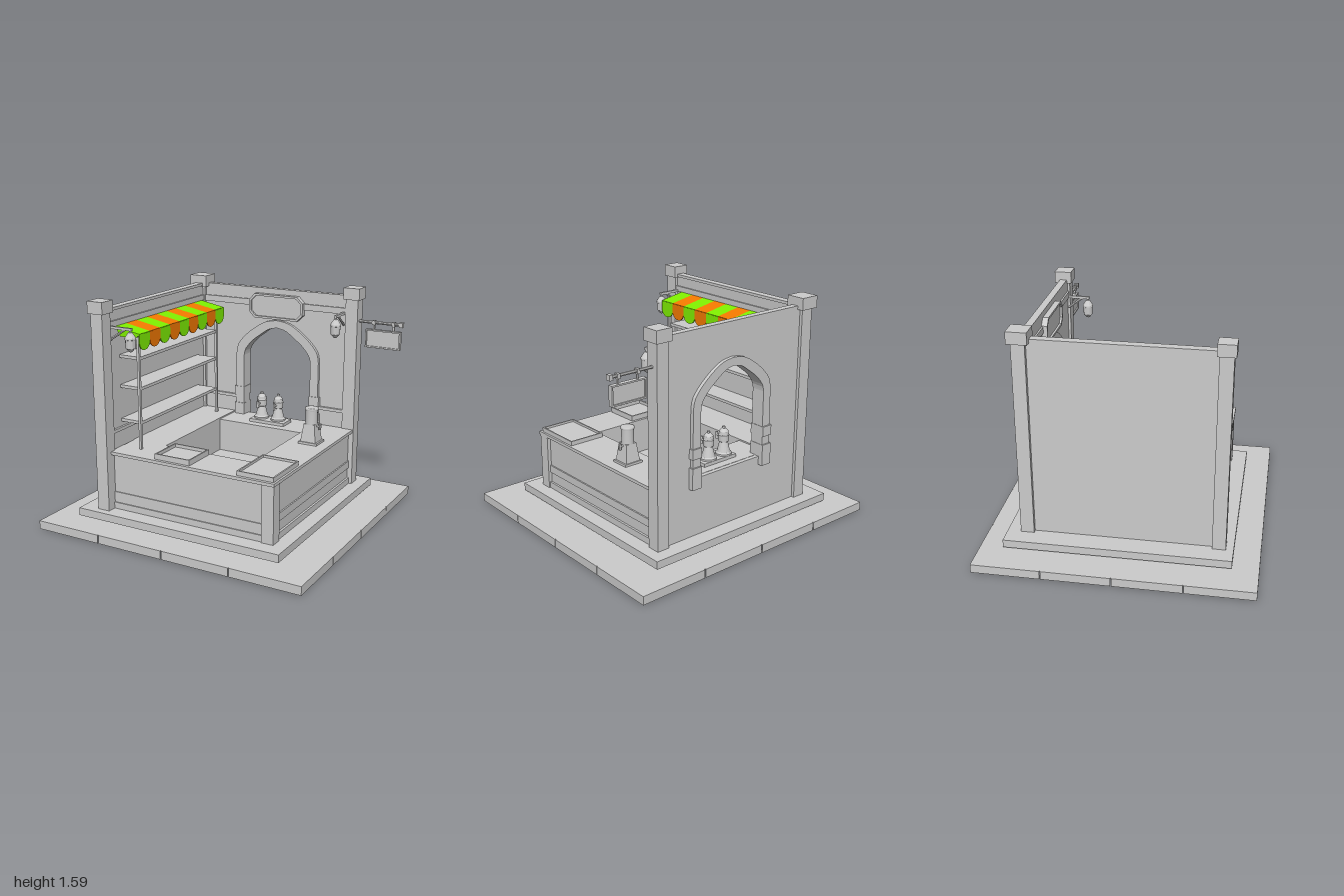
import * as THREE from 'three';

const mat = (color) => new THREE.MeshStandardMaterial({ color, flatShading: true });
const grey = mat(0xcccccc);
const smooth = new THREE.MeshStandardMaterial({ color: 0xcccccc });
const green = mat(0x80f000), orange = mat(0xf57a00);

function add(parent, name, geo, material = grey) {
  const m = new THREE.Mesh(geo, material);
  m.name = name;
  parent.add(m);
  return m;
}
// box given by its limits on each axis
function box(parent, name, x0, x1, y0, y1, z0, z1) {
  const m = add(parent, name, new THREE.BoxGeometry(x1 - x0, y1 - y0, z1 - z0));
  m.position.set((x0 + x1) / 2, (y0 + y1) / 2, (z0 + z1) / 2);
  return m;
}
// round bar between two points
function bar(parent, name, a, b, r, sides = 8) {
  const p = new THREE.Vector3(...a), q = new THREE.Vector3(...b), d = q.clone().sub(p);
  const m = add(parent, name, new THREE.CylinderGeometry(r, r, d.length(), sides));
  m.position.copy(p).add(q).multiplyScalar(0.5);
  m.quaternion.setFromUnitVectors(new THREE.Vector3(0, 1, 0), d.normalize());
  return m;
}
const points = (list) => list.map(p => new THREE.Vector2(...p));
const lathe = (list, sides) => new THREE.LatheGeometry(points(list), sides);
const extrude = (shape, depth) => new THREE.ExtrudeGeometry(shape, { depth, bevelEnabled: false });
const group = (parent, name) => { const g = new THREE.Group(); g.name = name; parent.add(g); return g; };

// pointed arch outline from half its points, closed at the sill
const ARCH_X = 0.048;
function archPoints(half, sill) {
  const curve = new THREE.SplineCurve(points(half)).getPoints(14);
  const right = [new THREE.Vector2(half[0][0], sill), ...curve];
  const left = right.slice(0, -1).reverse().map(p => new THREE.Vector2(-p.x, p.y));
  return [...right, ...left].map(p => p.setX(p.x + ARCH_X));
}
const INNER = [[0.275, 1.01], [0.262, 1.06], [0.21, 1.125], [0.14, 1.18], [0.07, 1.228], [0, 1.245]];
const OUTER = [[0.34, 1.02], [0.325, 1.09], [0.27, 1.16], [0.18, 1.235], [0.09, 1.285], [0, 1.30]];

// paving is a shell, open underneath
function buildBase(root) {
  const g = group(root, 'base'), t = 0.006;
  box(g, 'pavingTop', -1 + t, 1 - t, 0.055, 0.06, -0.94 + t, 0.94 - t);
  for (let i = 0; i < 4; i++) {
    const x0 = -1 + i * 0.5 + (i ? 0.004 : 0), x1 = -0.5 + i * 0.5 - (i < 3 ? 0.004 : 0);
    const z0 = -0.94 + i * 0.47 + (i ? 0.003 : 0), z1 = -0.47 + i * 0.47 - (i < 3 ? 0.003 : 0);
    for (const s of [-1, 1]) {
      const ex = s * (1 - t / 2), ez = s * (0.94 - t / 2);
      box(g, 'pavingEdge', x0, x1, 0, 0.06, ez - t / 2, ez + t / 2);
      box(g, 'pavingEdge', ex - t / 2, ex + t / 2, 0, 0.06, z0, z1);
    }
  }
  box(g, 'plinth', -0.79, 0.757, 0.08, 0.135, -0.775, 0.762);
}

function buildWalls(root) {
  const g = group(root, 'walls');
  // posts: centre x, centre z, half width, cap half width
  for (const [x, z, w, c] of [[-0.618, -0.636, 0.046, 0.069], [0.63, -0.638, 0.046, 0.06], [-0.618, 0.664, 0.046, 0.06]]) {
    box(g, 'post', x - w, x + w, 0.135, 1.51, z - w, z + w);
    box(g, 'postCap', x - c, x + c, 1.505, 1.588, z - c, z + c);
  }
  const wall = new THREE.Shape(points([[-0.6, 0.135], [0.6, 0.135], [0.6, 1.53], [-0.6, 1.53]]));
  wall.holes.push(new THREE.Path(archPoints(INNER, 0.54)));
  add(g, 'backWall', extrude(wall, 0.05)).position.z = -0.66;
  box(g, 'leftWall', -0.635, -0.592, 0.135, 1.51, -0.62, 0.64);
  // top and picture mouldings, chair rail
  box(g, 'backMoulding', -0.58, 0.585, 1.395, 1.44, -0.62, -0.598);
  box(g, 'backRail', -0.58, -0.28, 0.667, 0.69, -0.62, -0.592);
  box(g, 'backRail', 0.38, 0.585, 0.667, 0.69, -0.62, -0.592);
  box(g, 'leftCornice', -0.64, -0.58, 1.51, 1.53, -0.6, 0.62);
  box(g, 'leftMoulding', -0.6, -0.58, 1.40, 1.44, -0.6, 0.62);
  box(g, 'leftRail', -0.6, -0.575, 0.667, 0.69, -0.6, 0.62);

  // arch surround with jamb blocks
  const ring = new THREE.Shape([...archPoints(OUTER, 0.5), ...archPoints(INNER, 0.5).reverse()]);
  add(g, 'archSurround', extrude(ring, 0.1)).position.z = -0.685;
  for (const s of [-1, 1]) for (const [y0, y1] of [[0.69, 0.76], [0.48, 0.63]]) {
    const a = ARCH_X + s * 0.272, b = ARCH_X + s * 0.35;
    box(g, 'jambBlock', Math.min(a, b), Math.max(a, b), y0, y1, -0.695, -0.58);
  }
}

function buildCounter(root) {
  const g = group(root, 'counter');
  // body with four sides around a well
  box(g, 'frontBody', -0.575, 0.64, 0.135, 0.53, 0.37, 0.63);
  box(g, 'rightBody', 0.365, 0.64, 0.135, 0.53, -0.6, 0.4);
  box(g, 'leftBody', -0.59, -0.32, 0.135, 0.53, -0.6, 0.4);
  box(g, 'backBody', -0.34, 0.38, 0.135, 0.53, -0.61, -0.375);
  box(g, 'wellFloor', -0.33, 0.375, 0.135, 0.3, -0.385, 0.38);
  box(g, 'cornerPost', 0.577, 0.665, 0.135, 0.53, 0.57, 0.655);
  // stepped boards of the panelling
  box(g, 'frontSkirting', -0.575, 0.58, 0.135, 0.18, 0.6, 0.645);
  box(g, 'frontBoard', -0.575, 0.58, 0.18, 0.255, 0.6, 0.637);
  box(g, 'sideSkirting', 0.6, 0.655, 0.135, 0.18, -0.595, 0.58);
  box(g, 'sideRail', 0.6, 0.65, 0.255, 0.31, -0.595, 0.58);
  // worktop boards
  box(g, 'frontTop', -0.585, 0.67, 0.53, 0.552, 0.37, 0.663);
  box(g, 'rightTop', 0.365, 0.67, 0.53, 0.552, -0.6, 0.37);
  box(g, 'leftTop', -0.592, -0.32, 0.53, 0.552, -0.61, 0.37);
  box(g, 'backTop', -0.32, 0.365, 0.53, 0.542, -0.63, -0.375);
  // trays with a raised rim
  for (const [x0, x1, z0, z1, y] of [[-0.232, 0.038, 0.39, 0.64, 0.59], [0.39, 0.655, 0.28, 0.64, 0.583]]) {
    const t = group(g, 'tray'), w = 0.01;
    box(t, 'trayBottom', x0, x1, 0.55, 0.567, z0, z1);
    box(t, 'trayRim', x0, x0 + w, 0.55, y, z0, z1);
    box(t, 'trayRim', x1 - w, x1, 0.55, y, z0, z1);
    box(t, 'trayRim', x0 + w, x1 - w, 0.55, y, z0, z0 + w);
    box(t, 'trayRim', x0 + w, x1 - w, 0.55, y, z1 - w, z1);
  }
}

function buildUrns(root) {
  const g = group(root, 'urns');
  box(g, 'urnBoard', -0.10, 0.183, 0.54, 0.565, -0.57, -0.44);
  const profile = [[0.055, 0], [0.055, 0.012], [0.045, 0.022], [0.028, 0.09], [0.036, 0.095], [0.038, 0.14],
    [0.034, 0.145], [0.032, 0.165], [0.02, 0.18], [0.01, 0.185], [0.011, 0.198], [0, 0.203]];
  for (const x of [-0.035, 0.102]) {
    const u = group(g, 'urn');
    u.position.set(x, 0.565, -0.515);
    add(u, 'urnBody', lathe(profile, 20));
    bar(u, 'tap', [0, 0.118, 0.03], [0, 0.118, 0.075], 0.007);
    bar(u, 'tapSpout', [0, 0.09, 0.068], [0, 0.14, 0.068], 0.009);
  }
  // larger dispenser on a square tapered stand
  const d = group(g, 'dispenser');
  d.position.set(0.525, 0.55, -0.19);
  box(d, 'dispenserPlate', -0.07, 0.07, 0, 0.018, -0.065, 0.065);
  const stand = add(d, 'dispenserStand', new THREE.CylinderGeometry(0.057, 0.08, 0.125, 4));
  stand.rotation.y = Math.PI / 4;
  stand.position.y = 0.08;
  add(d, 'dispenserTank', lathe([[0.042, 0.14], [0.042, 0.24], [0.046, 0.242], [0.046, 0.256], [0.036, 0.258], [0, 0.258]], 24));
  bar(d, 'dispenserTap', [0.03, 0.128, 0], [0.075, 0.128, 0], 0.008);
  bar(d, 'dispenserSpout', [0.065, 0.105, 0], [0.065, 0.148, 0], 0.01);
}

function buildShelves(root) {
  const g = group(root, 'shelves');
  for (const z of [-0.512, 0.512]) box(g, 'shelfUpright', -0.438, -0.42, 0.55, 1.34, z - 0.01, z + 0.01);
  for (const y of [0.725, 0.965, 1.175]) box(g, 'shelfBoard', -0.595, -0.425, y, y + 0.021, -0.505, 0.505);
}

function buildAwning(root) {
  const g = group(root, 'awning'), n = 9, w = 1.11 / n;
  const slope = new THREE.Shape(points([[-0.59, 1.387], [-0.39, 1.352], [-0.388, 1.366], [-0.59, 1.403]]));
  for (let i = 0; i < n; i++) {
    const z = -0.555 + i * w, color = i % 2 ? orange : green;
    add(g, 'awningStripe', extrude(slope, w), color).position.z = z;
    // hanging scallop, facing +x
    const s = new THREE.Shape();
    s.moveTo(-w / 2, 0);
    s.lineTo(-w / 2, -0.055);
    s.absellipse(0, -0.055, w / 2, 0.057, Math.PI, 2 * Math.PI, false);
    s.lineTo(w / 2, 0);
    const flap = add(g, 'awningScallop', extrude(s, 0.008), color);
    flap.rotation.y = Math.PI / 2;
    flap.position.set(-0.395, 1.362, z + w / 2);
  }
  // cheeks closing the ends under the cloth
  const cheek = new THREE.Shape(points([[-0.58, 1.395], [-0.545, 1.335], [-0.42, 1.335], [-0.392, 1.36]]));
  for (const z of [-0.553, 0.545]) add(g, 'awningCheek', extrude(cheek, 0.008), green).position.z = z;
}

// wall lantern on a braced arm reaching along local +x
function buildLantern(root, x, z, turn, reach) {
  const g = group(root, 'lantern');
  g.position.set(x, 0, z);
  g.rotation.y = turn;
  box(g, 'lanternArm', -reach, 0.012, 1.395, 1.412, -0.009, 0.009);
  bar(g, 'lanternBrace', [-reach, 1.32, 0], [-0.04, 1.4, 0], 0.009, 6);
  bar(g, 'lanternHook', [0, 1.37, 0], [0, 1.4, 0], 0.008, 6);
  add(g, 'lanternBody', lathe([[0, 1.25], [0.012, 1.255], [0.028, 1.275], [0.033, 1.278], [0.035, 1.335],
    [0.039, 1.337], [0.038, 1.348], [0.014, 1.384], [0, 1.388]], 12));
}

function buildSigns(root) {
  // chamfered plaque over the arch
  const octagon = (w, h, c) => points([[-w, -h + c], [-w + c, -h], [w - c, -h], [w, -h + c], [w, h - c], [w - c, h], [-w + c, h], [-w, h - c]]);
  const g = group(root, 'plaque');
  g.position.set(0.04, 1.4, -0.615);
  const rim = new THREE.Shape(octagon(0.218, 0.09, 0.045));
  rim.holes.push(new THREE.Path(octagon(0.202, 0.075, 0.038)));
  add(g, 'plaqueRim', extrude(rim, 0.045));
  add(g, 'plaquePanel', extrude(new THREE.Shape(octagon(0.206, 0.079, 0.04)), 0.03));

  // hanging board on a side arm
  const h = group(root, 'hangingSign'), z = -0.636;
  bar(h, 'signArm', [0.65, 1.352, z], [0.985, 1.352, z], 0.011);
  box(h, 'signArmEnd', 0.975, 1, 1.335, 1.37, z - 0.017, z + 0.017);
  for (const x of [0.787, 0.932]) {
    box(h, 'signHanger', x - 0.006, x + 0.006, 1.295, 1.35, z - 0.006, z + 0.006);
    box(h, 'signCollar', x - 0.01, x + 0.01, 1.335, 1.367, z - 0.016, z + 0.016);
  }
  box(h, 'signBoard', 0.735, 0.98, 1.18, 1.295, z - 0.006, z + 0.006);
  for (const y of [1.172, 1.292]) box(h, 'signFrame', 0.728, 0.986, y, y + 0.01, z - 0.016, z + 0.016);
  for (const x of [0.728, 0.976]) box(h, 'signFrame', x, x + 0.01, 1.182, 1.292, z - 0.016, z + 0.016);
}

export function createModel() {
  const root = new THREE.Group();
  root.name = 'marketStall';
  buildBase(root);
  buildWalls(root);
  buildCounter(root);
  buildUrns(root);
  buildShelves(root);
  buildAwning(root);
  buildLantern(root, -0.425, 0.605, 0, 0.16);
  buildLantern(root, 0.57, -0.455, -Math.PI / 2, 0.145);
  buildSigns(root);
  // round turned parts are smooth
  root.traverse(o => { if (o.isMesh && /Tank|tap/i.test(o.name)) o.material = smooth; });
  return root;
}
